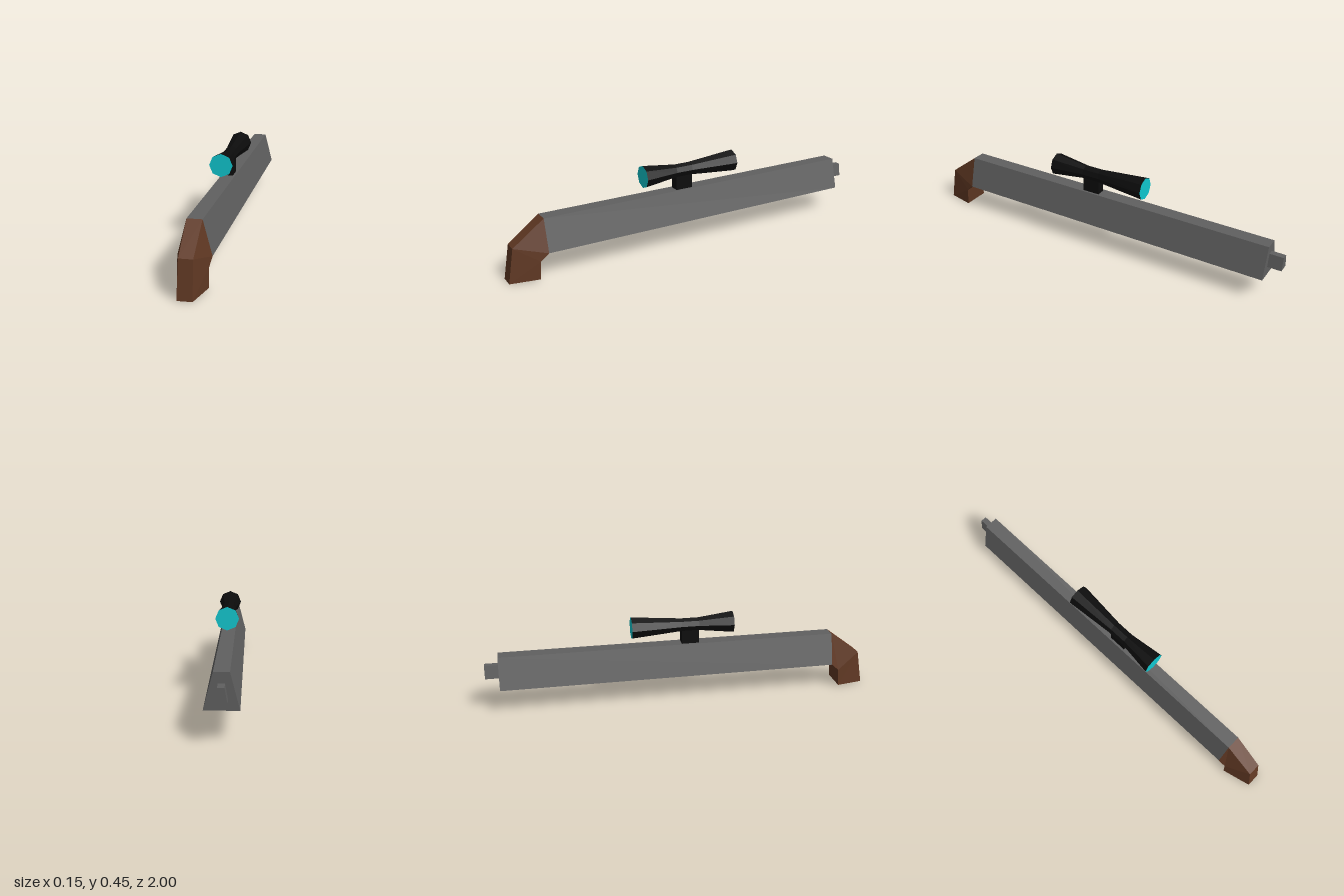
import * as THREE from 'three';

const paint = (name, color, opts = {}) => {
  const m = new THREE.MeshStandardMaterial({ color, flatShading: true, ...opts });
  m.name = name;
  return m;
};

// Four-cornered section: a lower (or inner) edge and an upper (or outer) edge
const ring = (halfLow, yLow, zLow, halfHigh, yHigh, zHigh) => [
  [-halfLow, yLow, zLow], [halfLow, yLow, zLow],
  [halfHigh, yHigh, zHigh], [-halfHigh, yHigh, zHigh],
];

// Closed solid through a row of sections, running from back to front
function loft(rings) {
  const pos = [];
  const quad = (a, b, c, d) => pos.push(...a, ...b, ...c, ...a, ...c, ...d);
  for (let r = 0; r < rings.length - 1; r++) {
    const a = rings[r], b = rings[r + 1];
    for (let i = 0; i < 4; i++) {
      const j = (i + 1) % 4;
      quad(a[i], a[j], b[j], b[i]);
    }
  }
  quad(...[...rings[0]].reverse());
  quad(...rings[rings.length - 1]);
  const g = new THREE.BufferGeometry();
  g.setAttribute('position', new THREE.Float32BufferAttribute(pos, 3));
  g.computeVertexNormals();
  return g;
}

export function createModel() {
  const model = new THREE.Group();
  const grey = paint('gunmetal', 0x606060);
  const brown = paint('wood', 0x603823);
  const black = paint('black', 0x0c0c0c);
  const cyan = paint('lens cyan', 0x10c8d0);

  const add = (name, geometry, material, parent = model) => {
    const mesh = new THREE.Mesh(geometry, material);
    mesh.name = name;
    parent.add(mesh);
    return mesh;
  };

  // Long body and the small muzzle, both trapezoid bars
  add('body', loft([
    ring(0.077, 0.132, -0.93, 0.035, 0.294, -0.93),
    ring(0.077, 0.132, 0.81, 0.035, 0.294, 0.81),
  ]), grey);
  add('muzzle', loft([
    ring(0.027, 0.18, -1, 0.015, 0.247, -1),
    ring(0.027, 0.18, -0.93, 0.015, 0.247, -0.93),
  ]), grey);

  // Bent stock: leaves the body, then turns down into the grip
  add('stock', loft([
    ring(0.077, 0.132, 0.81, 0.035, 0.294, 0.81),
    ring(0.07, 0.095, 0.85, 0.032, 0.174, 0.97),
    ring(0.07, 0.005, 0.857, 0.034, 0, 1),
  ]), brown);

  // Eight-sided scope, narrow in the middle
  const scope = new THREE.Group();
  scope.name = 'scope';
  scope.position.set(0, 0.39, 0);
  model.add(scope);
  const stations = [[-0.258, 0.058], [0, 0.035], [0.09, 0.035], [0.27, 0.058]];
  for (let i = 0; i < 3; i++) {
    const [z0, r0] = stations[i], [z1, r1] = stations[i + 1];
    const tube = new THREE.CylinderGeometry(r1, r0, z1 - z0, 8, 1, true);
    tube.rotateX(Math.PI / 2).translate(0, 0, (z0 + z1) / 2);
    add('scopeTube' + (i + 1), tube, black, scope);
  }

  // Lenses closing both ends
  add('frontLens', new THREE.CircleGeometry(0.058, 8), cyan, scope).position.z = 0.27;
  const backLens = add('backLens', new THREE.CircleGeometry(0.058, 8), cyan, scope);
  backLens.position.z = -0.258;
  backLens.rotation.y = Math.PI;

  // Block joining scope and body
  add('scopeMount', new THREE.BoxGeometry(0.048, 0.072, 0.09), black).position.set(0, 0.33, 0.045);

  return model;
}
